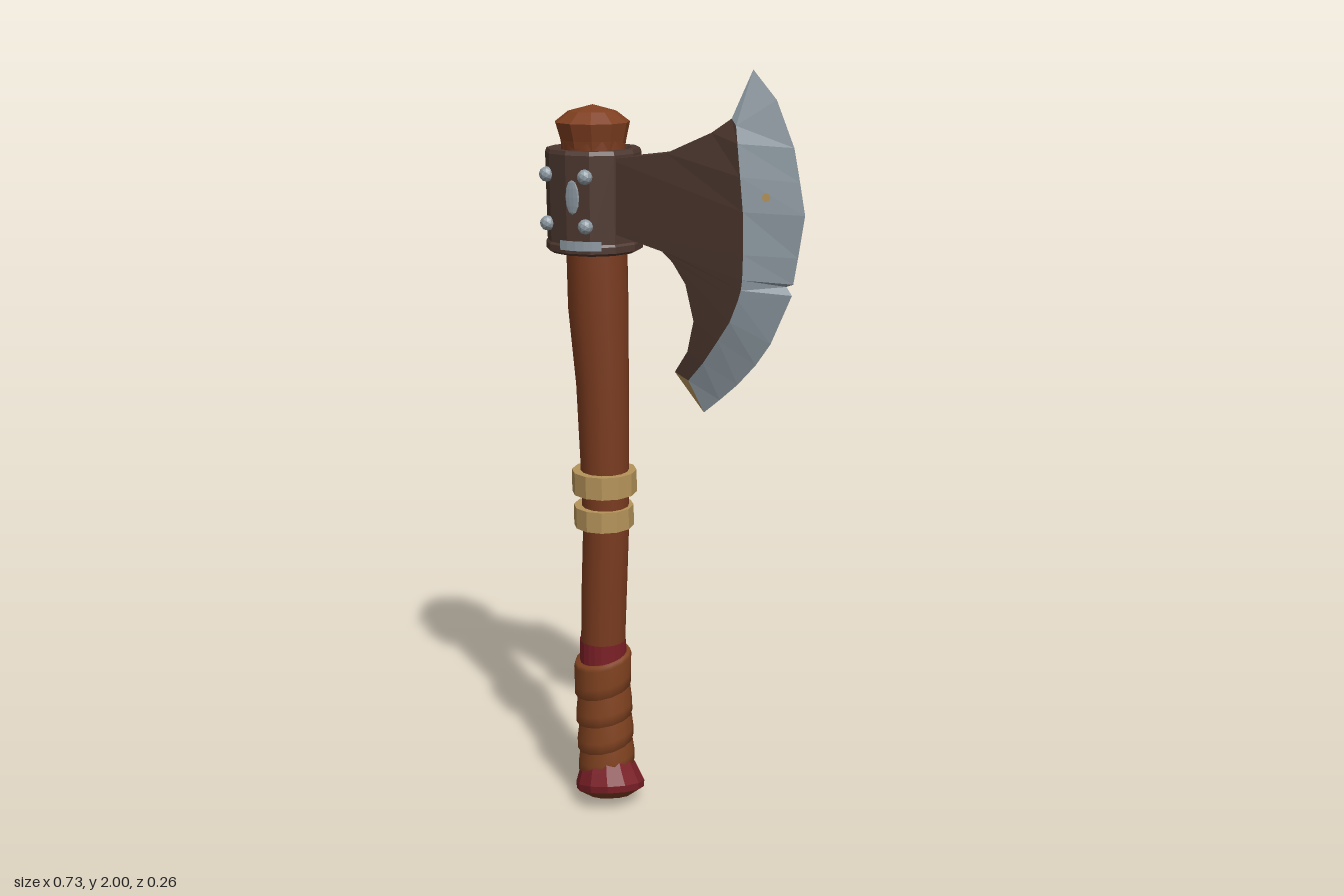
import * as THREE from 'three';

const mat = (name, color, flatShading = true) => {
  const m = new THREE.MeshStandardMaterial({ color, flatShading });
  m.name = name;
  return m;
};

export function createModel() {
  const axe = new THREE.Group();
  axe.name = 'axe';
  const wood = mat('wood', 0x7a3b1f, false);
  const leather = mat('leather', 0x804220, false);
  const red = mat('redCloth', 0x7b2027);
  const gold = mat('goldBand', 0xb5935a);
  const iron = mat('darkIron', 0x4d372f);
  const steel = mat('steel', 0x8e9aa2);
  const knobWood = mat('knobWood', 0x7f3f20);

  const add = (name, geometry, material, parent = axe) => {
    const mesh = new THREE.Mesh(geometry, material);
    mesh.name = name;
    parent.add(mesh);
    return mesh;
  };

  // Loft of round rings [y, centreX, radius], bottom to top; sx and sz slant them
  const loft = (rings, sides, sx = 0, sz = 0) => {
    const pos = [], idx = [];
    rings.forEach(([y, cx, r], i) => {
      for (let j = 0; j < sides; j++) {
        const a = (j / sides) * Math.PI * 2;
        const dx = Math.sin(a) * r, dz = Math.cos(a) * r;
        pos.push(cx + dx, y + sx * dx + sz * dz, dz);
        if (i === 0) continue;
        const k = (j + 1) % sides, lo = (i - 1) * sides, hi = i * sides;
        idx.push(lo + j, lo + k, hi + k, lo + j, hi + k, hi + j);
      }
    });
    const g = new THREE.BufferGeometry();
    g.setAttribute('position', new THREE.Float32BufferAttribute(pos, 3));
    g.setIndex(idx);
    g.computeVertexNormals();
    return g;
  };

  // Gently bent shaft and the faceted knob on top
  add('handle', loft([
    [0.1, -0.215, 0.06], [0.35, -0.227, 0.06], [0.5, -0.224, 0.06], [0.65, -0.218, 0.061],
    [0.8, -0.211, 0.061], [1.0, -0.212, 0.064], [1.2, -0.216, 0.068], [1.4, -0.226, 0.077],
    [1.55, -0.228, 0.077], [1.82, -0.235, 0.08],
  ], 14), wood);
  add('handleKnob', loft([
    [1.79, -0.235, 0.078], [1.82, -0.235, 0.083], [1.862, -0.237, 0.094],
    [1.888, -0.237, 0.06], [1.904, -0.235, 0],
  ], 11), knobWood);

  // Grip: overlapping slanted leather turns
  const turns = [[0.115, 0.2], [0.185, 0.275], [0.26, 0.36], [0.345, 0.44]];
  turns.forEach(([y0, y1], i) => {
    const cx = -0.218 - i * 0.003, last = i === turns.length - 1;
    add('gripWrap', loft([
      [y0, cx, 0.062], [y0, cx, 0.077], [y0 + 0.03, cx, 0.077],
      [y1 - 0.012, cx, last ? 0.078 : 0.071], [y1, cx, last ? 0.075 : 0.069], [y1, cx, 0.056],
    ], 14, 0.14, i % 2 ? -0.16 : -0.1), leather);
  });

  // Red cloth showing above the grip, on the front and left
  const cloth = new THREE.CylinderGeometry(0.063, 0.063, 0.07, 12, 1, true, -Math.PI / 2, Math.PI * 1.15);
  const clothMat = red.clone();
  clothMat.side = THREE.DoubleSide;
  add('gripCloth', cloth, clothMat).position.set(-0.225, 0.455, 0);

  // Flared slanted pommel with a wooden end
  add('pommel', loft([
    [0.045, -0.207, 0.093], [0.065, -0.207, 0.095], [0.1, -0.211, 0.082],
    [0.13, -0.213, 0.07], [0.135, -0.213, 0.05],
  ], 12, 0.2, 0.25), red);
  add('pommelEnd', loft([
    [0.018, -0.205, 0], [0.022, -0.205, 0.055], [0.045, -0.207, 0.093],
  ], 12, 0.2, 0.25), wood);

  // Two gold bands
  for (const [y, cx, r, h] of [[0.94, -0.214, 0.085, 0.03], [0.845, -0.217, 0.079, 0.028]]) {
    add('goldBand', loft([
      [y - h, cx, 0.055], [y - h, cx, r], [y + h, cx, r], [y + h, cx, 0.055],
    ], 12), gold);
  }

  // Iron collar with a bottom rim
  const cx = -0.235;
  add('collar', loft([
    [1.56, cx, 0.075], [1.545, cx, 0.11], [1.552, cx, 0.122], [1.568, cx, 0.122], [1.574, cx, 0.118],
    [1.79, cx, 0.12], [1.8, cx, 0.116], [1.8, cx, 0.097], [1.775, cx, 0.075],
  ], 12), iron);

  // Worn steel marks on the collar
  const wear = add('collarWear', new THREE.SphereGeometry(1, 10, 6), steel);
  wear.scale.set(0.021, 0.042, 0.004);
  wear.position.set(-0.217, 1.69, 0.118);
  const rimWear = add('rimWear', new THREE.CylinderGeometry(0.1225, 0.1225, 0.024, 5, 1, true, -0.15, 0.9), steel);
  rimWear.position.set(cx, 1.572, 0);

  // Rivets, two rows around the collar
  for (const y of [1.62, 1.74]) {
    for (const [dx, dz] of [[-0.068, 0.104], [0.05, 0.109], [-0.119, 0], [-0.068, -0.104], [0.05, -0.109]]) {
      const rivet = add('rivet', new THREE.IcosahedronGeometry(0.019, 1), steel);
      rivet.position.set(cx + dx, y, dz);
    }
  }

  // Blade stations, upper tip to lower tip:
  // inner edge x, y, half thickness; ridge x, y, half thickness; cutting edge x, y
  const stations = [
    [[0.217, 2.0, 0], [0.217, 2.0, 0], [0.217, 2.0]],
    [[0.18, 1.89, 0.033], [0.196, 1.875, 0.04], [0.28, 1.934]],
    [[0.13, 1.856, 0.04], [0.206, 1.835, 0.05], [0.328, 1.828]],
    [[0.01, 1.803, 0.049], [0.217, 1.76, 0.055], [0.345, 1.75]],
    [[-0.15, 1.78, 0.055], [0.226, 1.68, 0.056], [0.36, 1.675]],
    [[-0.15, 1.602, 0.055], [0.228, 1.58, 0.056], [0.344, 1.575]],
    [[-0.053, 1.595, 0.055], [0.226, 1.52, 0.055], [0.333, 1.512]],
    [[0.0, 1.57, 0.054], [0.222, 1.495, 0.054], [0.315, 1.505]],
    [[0.03, 1.545, 0.053], [0.214, 1.47, 0.053], [0.33, 1.485]],
    [[0.066, 1.495, 0.051], [0.19, 1.415, 0.05], [0.275, 1.362]],
    [[0.086, 1.405, 0.045], [0.155, 1.365, 0.045], [0.235, 1.305]],
    [[0.063, 1.325, 0.036], [0.108, 1.302, 0.036], [0.185, 1.25]],
    [[0.021, 1.267, 0.026], [0.06, 1.25, 0.026], [0.135, 1.205]],
    [[0.09, 1.167, 0], [0.09, 1.167, 0], [0.09, 1.167]],
  ];
  const faces = { cheek: [], edge: [], corner: [] };
  const quad = (list, a, b, c, d) => list.push(...a, ...b, ...c, ...a, ...c, ...d);
  const at = ([x, y, t = 0], s) => [x, y, t * s];
  for (let i = 0; i < stations.length - 1; i++) {
    const [in0, mid0, out0] = stations[i], [in1, mid1, out1] = stations[i + 1];
    const tip = i === 0, corner = i === stations.length - 2;
    const body = tip ? faces.edge : corner ? faces.corner : faces.cheek;
    for (const s of [1, -1]) {
      const cheek = [in0, in1, mid1, mid0].map((p) => at(p, s));
      const bevel = [mid0, mid1, out1, out0].map((p) => at(p, s));
      if (s < 0) { cheek.reverse(); bevel.reverse(); }
      quad(body, ...cheek);
      quad(faces.edge, ...bevel);
    }
    // Rim along the inner outline
    quad(i < 2 ? faces.edge : body, at(in0, 1), at(in0, -1), at(in1, -1), at(in1, 1));
  }
  const blade = new THREE.Group();
  blade.name = 'blade';
  axe.add(blade);
  const bladeParts = [['bladeCheek', faces.cheek, iron], ['cuttingEdge', faces.edge, steel], ['bladeCorner', faces.corner, gold]];
  for (const [name, list, material] of bladeParts) {
    const g = new THREE.BufferGeometry();
    g.setAttribute('position', new THREE.Float32BufferAttribute(list, 3));
    g.computeVertexNormals();
    add(name, g, material, blade);
  }

  // Small tarnish spots on the bevel, one per side
  for (const [s, r] of [[1, 0.01], [-1, 0.028]]) {
    const spot = add('tarnishSpot', new THREE.CircleGeometry(r, 10), gold, blade);
    spot.position.set(0.276, 1.715, s * 0.0355);
    spot.lookAt(0.276 + 0.055, 1.715, s * (0.0355 + 0.13));
  }
  return axe;
}
